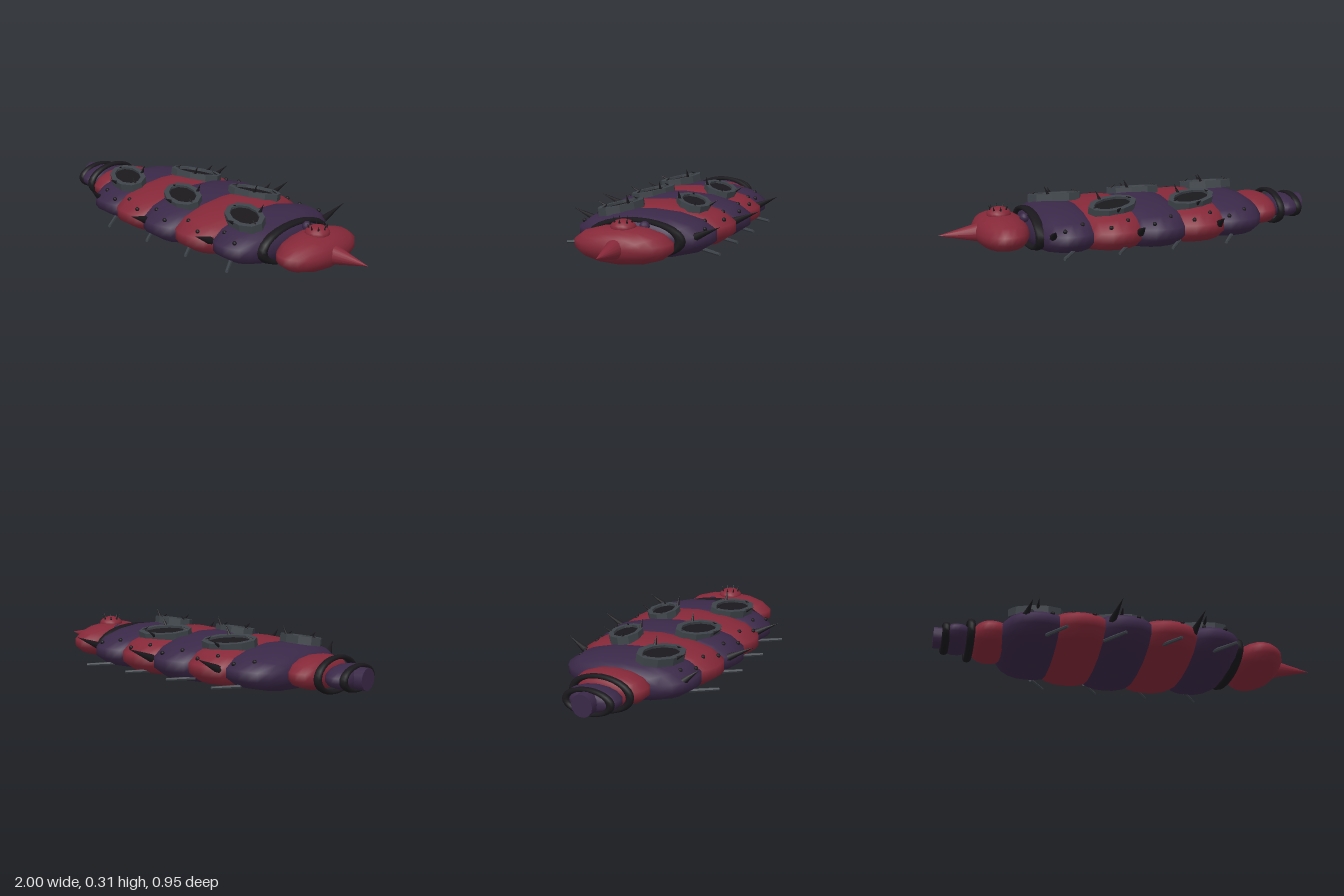
import * as THREE from 'three';

const mat = (color, side = THREE.FrontSide) => new THREE.MeshStandardMaterial({ color, side, roughness: 0.8 });
const RED = mat(0x852838), PURPLE = mat(0x3a2848), BLACK = mat(0x1a181c);
const GREY = mat(0x3d4349);
GREY.flatShading = true;
const MID = 0.125; // height of the body axis
const V = (x, y, z) => new THREE.Vector3(x, y, z);

export function createModel() {
  const root = new THREE.Group();

  const add = (name, geometry, material, parent = root) => {
    const mesh = new THREE.Mesh(geometry, material);
    mesh.name = name;
    parent.add(mesh);
    return mesh;
  };

  // Flattened barrel lying along x, with 14 sides
  const barrel = (name, x, rx, ry, rz, material, power = 2.5) => {
    const profile = [];
    for (let i = 0; i <= 12; i++) {
      const t = -Math.cos((i / 12) * Math.PI);
      const r = Math.pow(Math.max(0, 1 - Math.pow(Math.abs(t), power)), 1 / power);
      profile.push(new THREE.Vector2(r, t * rx));
    }
    const g = new THREE.LatheGeometry(profile, 14, Math.PI / 2);
    g.rotateZ(-Math.PI / 2).scale(1, ry, rz).translate(x, MID, 0);
    return add(name, g, material);
  };

  // Flattened ring around the body axis
  const collar = (name, x, ry, rz, tube) => {
    const g = new THREE.TorusGeometry(1, tube / rz, 8, 28);
    g.rotateY(Math.PI / 2).scale(rz, ry, rz).translate(x, MID, 0);
    return add(name, g, BLACK);
  };

  // Rod or cone between two points
  const rod = (name, from, to, r0, r1, material, parent = root, sides = 7) => {
    const dir = to.clone().sub(from);
    const g = new THREE.CylinderGeometry(r1, r0, dir.length(), sides);
    const m = add(name, g, material, parent);
    m.position.copy(from).addScaledVector(dir, 0.5);
    m.quaternion.setFromUnitVectors(V(0, 1, 0), dir.normalize());
    return m;
  };

  // Body segments, alternating in colour: x, half length, half width
  const segments = [
    [-0.49, 0.2, 0.345], [-0.285, 0.2, 0.375], [-0.065, 0.2, 0.39],
    [0.16, 0.2, 0.38], [0.39, 0.175, 0.357],
  ];
  segments.forEach(([x, rx, rz], i) => {
    barrel('bodySegment', x, rx, rz * 0.32, rz, i % 2 ? RED : PURPLE);
    // Small dark warts along both flanks
    for (const s of [-1, 1]) {
      for (const [dx, k] of [[-0.05, 0.8], [0.05, 0.9]]) {
        const wart = add('wart', new THREE.SphereGeometry(0.011, 8, 6), BLACK);
        wart.position.set(x + dx, MID + rz * 0.31 * Math.sqrt(1 - k * k), s * rz * k * 0.98);
      }
    }
  });

  // Head, beak and neck
  collar('neckCollar', 0.535, 0.09, 0.225, 0.028);
  barrel('head', 0.685, 0.135, 0.092, 0.25, RED, 2.1);
  rod('beak', V(0.77, MID, 0), V(1, MID, 0), 0.054, 0, RED, root, 16);
  const bump = add('neckBump', new THREE.SphereGeometry(0.025, 10, 8), PURPLE);
  bump.position.set(0.575, 0.195, -0.06);

  // Crown dome with a circle of tiny thorns
  const dome = add('crownDome', new THREE.SphereGeometry(0.062, 16, 10), RED);
  dome.position.set(0.69, 0.21, 0);
  dome.scale.y = 0.6;
  for (let i = 0; i < 8; i++) {
    const a = (i / 8) * Math.PI * 2, c = Math.cos(a), s = Math.sin(a);
    rod('crownThorn', V(0.69 + c * 0.042, 0.232, s * 0.042), V(0.69 + c * 0.05, 0.258, s * 0.05), 0.006, 0, BLACK, root, 5);
  }

  // Tail
  barrel('tailSegment', -0.715, 0.1, 0.083, 0.193, RED);
  collar('tailCollar', -0.82, 0.083, 0.15, 0.02);
  barrel('tailJoint', -0.885, 0.075, 0.06, 0.14, PURPLE);
  collar('tailCollar', -0.94, 0.058, 0.115, 0.02);
  const knob = add('tailKnob', new THREE.CylinderGeometry(0.055, 0.055, 0.08, 14), PURPLE);
  knob.rotation.z = Math.PI / 2;
  knob.position.set(-0.96, MID, 0);

  // Oval craters on the back: grey frame, dark floor, spikes on the rim
  const oval = (C, a, b) => {
    const pts = [];
    for (let i = 0; i < 10; i++) {
      const t = ((i + 0.5) / 10) * Math.PI * 2;
      pts.push(new THREE.Vector2(a * Math.cos(t), b * Math.sin(t)));
    }
    return new C(pts);
  };
  const frameShape = oval(THREE.Shape, 0.143, 0.088);
  frameShape.holes.push(oval(THREE.Path, 0.112, 0.062));
  const slab = (shape, depth) =>
    new THREE.ExtrudeGeometry(shape, { depth, bevelEnabled: false }).rotateX(-Math.PI / 2);
  const frameGeo = slab(frameShape, 0.04);
  const floorGeo = slab(oval(THREE.Shape, 0.115, 0.064), 0.028);
  const craters = [[-0.505, 1], [-0.08, 1], [0.355, 1], [-0.29, -1], [0.14, -1]];
  for (const [x, s] of craters) {
    const crater = new THREE.Group();
    crater.name = 'crater';
    crater.position.set(x, 0.216, s * 0.148);
    crater.rotation.set(s * 0.17, -s * 0.38, 0);
    add('craterFrame', frameGeo, GREY, crater);
    add('craterFloor', floorGeo, BLACK, crater);
    rod('rimSpike', V(0.02, 0.03, -s * 0.072), V(0.04, 0.085, -s * 0.09), 0.01, 0, BLACK, crater);
    rod('rimSpike', V(0.03, 0.03, s * 0.075), V(0.045, 0.065, s * 0.115), 0.01, 0, BLACK, crater);
    for (const e of [-1, 1]) {
      rod('rimThorn', V(e * 0.122, 0.035, 0), V(e * 0.09, 0.055, 0), 0.007, 0, BLACK, crater, 5);
    }
    root.add(crater);
  }

  // Long flank spikes: base x, side, base z, tip z
  const spikes = [
    [-0.37, -1, 0.33, 0.455], [0.06, -1, 0.34, 0.48], [0.49, -1, 0.28, 0.42],
    [-0.575, 1, 0.29, 0.37], [-0.15, 1, 0.34, 0.475], [0.275, 1, 0.31, 0.44],
  ];
  for (const [x, s, z0, z1] of spikes) {
    rod('flankSpike', V(x, 0.14, s * z0), V(x + 0.027, 0.205, s * z1), 0.021, 0, BLACK);
  }

  // Short stub legs near the underside
  for (const x of [-0.38, -0.09, 0.19, 0.47]) {
    for (const s of [-1, 1]) {
      rod('stubLeg', V(x - 0.085, 0.062, s * 0.28), V(x, 0.062, s * 0.4), 0.01, 0.008, GREY, root, 6);
    }
  }
  return root;
}
